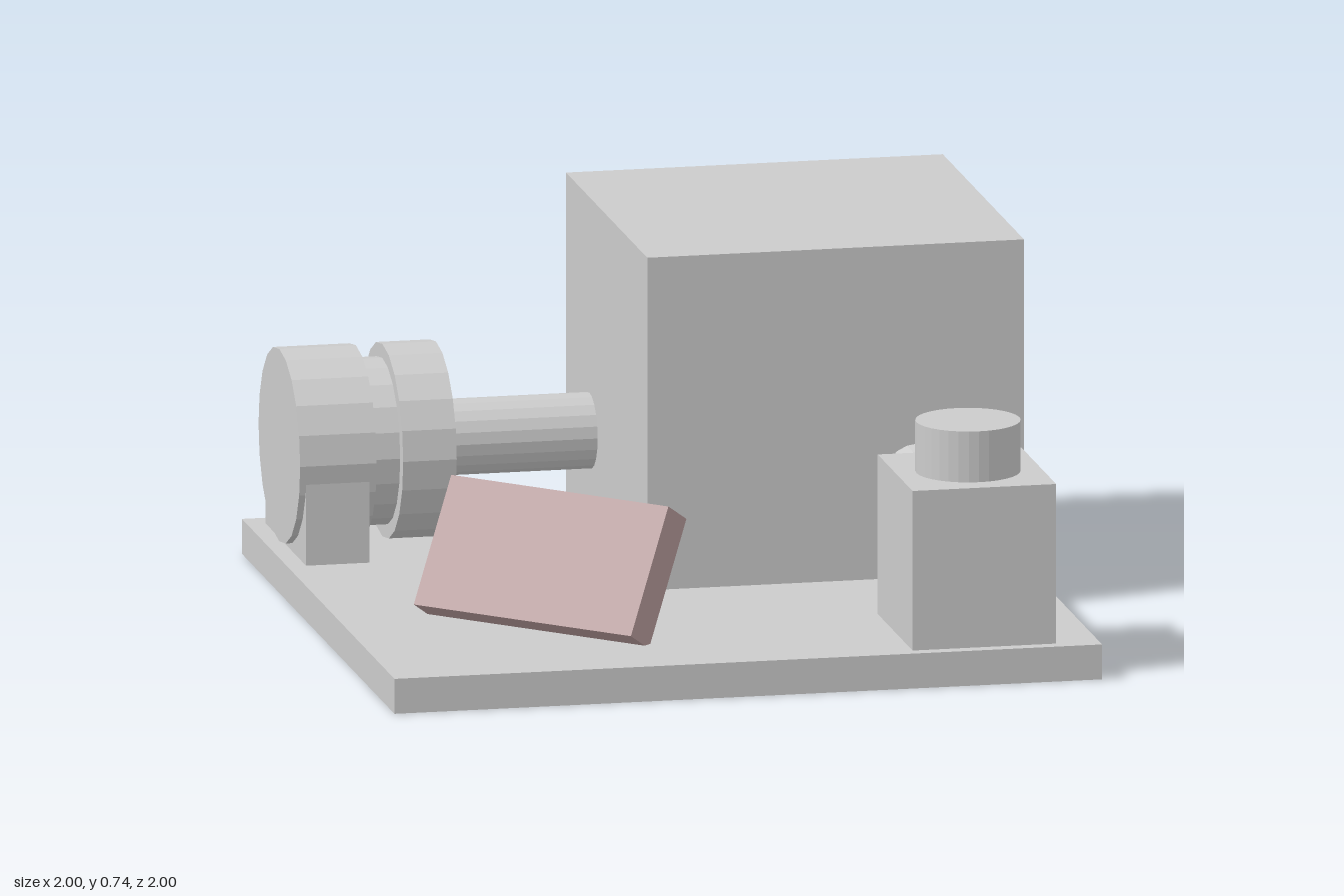
import * as THREE from 'three';

const grey = new THREE.MeshStandardMaterial({ color: 0xcccccc, flatShading: true });
const panelMaterial = new THREE.MeshStandardMaterial({ color: 0xb89c9c, flatShading: true });

// Box given by its minimum and maximum corners
function box(name, [x0, y0, z0], [x1, y1, z1]) {
  const mesh = new THREE.Mesh(new THREE.BoxGeometry(x1 - x0, y1 - y0, z1 - z0), grey);
  mesh.position.set((x0 + x1) / 2, (y0 + y1) / 2, (z0 + z1) / 2);
  mesh.name = name;
  return mesh;
}

// Cylinder running from point a to point b
function rod(name, radius, a, b, sides = 20) {
  const start = new THREE.Vector3(...a);
  const end = new THREE.Vector3(...b);
  const axis = end.clone().sub(start);
  const mesh = new THREE.Mesh(new THREE.CylinderGeometry(radius, radius, axis.length(), sides), grey);
  mesh.position.copy(start).add(end).multiplyScalar(0.5);
  mesh.quaternion.setFromUnitVectors(new THREE.Vector3(0, 1, 0), axis.normalize());
  mesh.name = name;
  return mesh;
}

export function createModel() {
  const model = new THREE.Group();
  model.name = 'machineOnBase';

  // Everything square to the base lives in a frame turned by 45 degrees
  const turned = new THREE.Group();
  turned.name = 'turnedAssembly';
  turned.rotation.y = -Math.PI / 4;
  model.add(turned);

  const half = Math.SQRT1_2;
  const floor = 0.07;
  const axisY = 0.27;
  turned.add(box('basePlate', [-half, 0, -half], [half, floor, half]));
  turned.add(box('mainHousing', [-0.69, floor, -0.69], [0.063, 0.737, 0.063]));

  // Motor: shaft, coupling discs and stand
  const motor = new THREE.Group();
  motor.name = 'motor';
  const mx = -0.472;
  [
    ['motorShaft', 0.075, 0.03, 0.38],
    ['innerDisc', 0.193, 0.37, 0.477],
    ['discHub', 0.165, 0.47, 0.54],
    ['outerDisc', 0.193, 0.53, 0.683],
  ].forEach(([name, r, z0, z1]) => motor.add(rod(name, r, [mx, axisY, z0], [mx, axisY, z1])));
  motor.add(box('motorStand', [-0.66, floor, 0.543], [-0.285, axisY, 0.67]));
  turned.add(motor);

  // Side unit: block with a cap, joined to the housing by a pipe
  const sideUnit = new THREE.Group();
  sideUnit.name = 'sideUnit';
  sideUnit.add(
    box('sideBlock', [0.358, floor, -0.621], [0.681, 0.39, -0.334]),
    rod('connectingPipe', 0.068, [0.03, axisY, -0.477], [0.38, axisY, -0.477]),
    rod('blockCap', 0.103, [0.531, 0.38, -0.477], [0.531, 0.492, -0.477], 32),
  );
  turned.add(sideUnit);

  // Leaning control panel
  const panel = new THREE.Mesh(new THREE.BoxGeometry(0.505, 0.27, 0.075), panelMaterial);
  panel.name = 'controlPanel';
  panel.position.set(0.003, 0.197, 0.444);
  panel.rotation.x = -Math.PI / 6;
  model.add(panel);

  return model;
}
